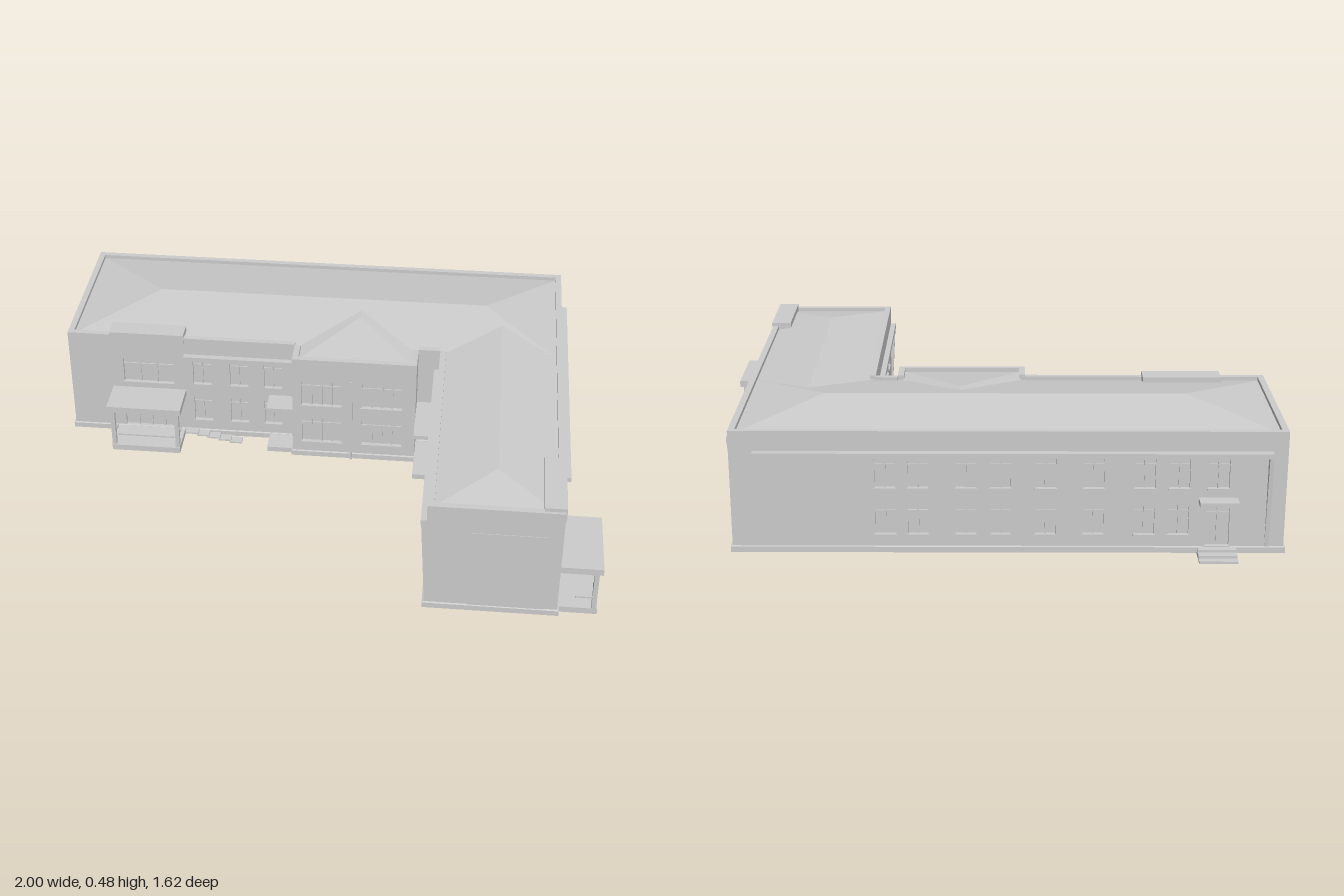
import * as THREE from 'three';

const mat = new THREE.MeshStandardMaterial({ color: 0xcccccc, flatShading: true });
const BASE = 0.03, TOP = 0.455, T = 0.022;

function add(parent, name, geo) {
  const m = new THREE.Mesh(geo, mat);
  m.name = name;
  parent.add(m);
  return m;
}

// Box given by its limits on each axis
function box(parent, name, x0, x1, y0, y1, z0, z1) {
  const m = add(parent, name, new THREE.BoxGeometry(x1 - x0, y1 - y0, z1 - z0));
  m.position.set((x0 + x1) / 2, (y0 + y1) / 2, (z0 + z1) / 2);
  return m;
}

function rectPath(path, x0, x1, y0, y1) {
  path.moveTo(x0, y0);
  path.lineTo(x1, y0);
  path.lineTo(x1, y1);
  path.lineTo(x0, y1);
  path.closePath();
  return path;
}

// Wall panel in its own frame: x along the wall, outer face at z = 0
function wall(parent, name, a, b, openings) {
  const g = new THREE.Group();
  g.name = name;
  g.position.set(a[0], 0, a[1]);
  g.rotation.y = Math.atan2(a[1] - b[1], b[0] - a[0]);
  parent.add(g);
  const len = Math.hypot(b[0] - a[0], b[1] - a[1]);
  const shape = rectPath(new THREE.Shape(), 0, len, BASE, TOP);
  for (const [u, w, y0, y1] of openings)
    shape.holes.push(rectPath(new THREE.Path(), u - w / 2, u + w / 2, y0, y1));
  const geo = new THREE.ExtrudeGeometry(shape, { depth: T, bevelEnabled: false });
  geo.translate(0, 0, -T);
  add(g, 'wallPanel', geo);
  for (const [u, w, y0, y1, panes] of openings) {
    const l = u - w / 2, r = u + w / 2;
    box(g, 'glass', l, r, y0, y1, -0.02, -0.012);
    for (let i = 1; i < panes; i++) {
      const x = l + (w * i) / panes;
      box(g, 'mullion', x - 0.003, x + 0.003, y0, y1, -0.014, -0.006);
    }
    box(g, 'transom', l, r, y1 - 0.026, y1 - 0.021, -0.014, -0.007);
    box(g, 'sill', l - 0.004, r + 0.004, y0 - 0.005, y0, -0.01, 0.005);
  }
  return g;
}

// Two storeys of windows at the given distances along a wall
const storeys = (us, w = 0.068, panes = 2) =>
  us.flatMap(u => [[u, w, 0.255, 0.36, panes], [u, w, 0.09, 0.195, panes]]);

// Projecting band under the parapet, with tapered fins at chosen places
function band(g, u0, u1, d, fins) {
  box(g, 'band', u0, u1, 0.368, 0.386, 0, d);
  for (const u of fins) {
    const s = new THREE.Shape([[0, 0.04], [d, 0.386], [0, 0.386]].map(p => new THREE.Vector2(...p)));
    const geo = new THREE.ExtrudeGeometry(s, { depth: 0.014, bevelEnabled: false });
    geo.rotateY(-Math.PI / 2);
    geo.translate(u + 0.007, 0, 0);
    add(g, 'taperedFin', geo);
  }
}

// Porch with tall parapet, canopy, posts, rails and side steps
function entrance(g, u) {
  const l = u - 0.14, r = u + 0.14;
  box(g, 'entranceParapet', l, r, 0.42, 0.468, -0.07, 0.004);
  box(g, 'canopy', l, r, 0.2, 0.224, 0, 0.143);
  box(g, 'porchFloor', l + 0.01, r - 0.01, 0.022, 0.045, 0, 0.135);
  for (const x of [l + 0.018, r - 0.018]) {
    box(g, 'post', x - 0.008, x + 0.008, 0.022, 0.2, 0.115, 0.131);
    box(g, 'sideRail', x - 0.003, x + 0.003, 0.085, 0.091, 0.06, 0.12);
  }
  box(g, 'frontRail', l + 0.018, r - 0.018, 0.085, 0.091, 0.12, 0.126);
  for (let i = 0; i < 5; i++)
    box(g, 'step', r + i * 0.042, r + 0.048 + i * 0.042, 0.056 - i * 0.008, 0.062 - i * 0.008, 0.018, 0.052);
}

// Hipped roof: rectangle of eaves plus a ridge from r0 to r1 (x, z)
function hip(parent, name, x0, x1, z0, z1, r0, r1, h, alongX) {
  const e = 0.44;
  const A = [x0, e, z0], B = [x1, e, z0], C = [x1, e, z1], D = [x0, e, z1];
  const P = [r0[0], h, r0[1]], Q = [r1[0], h, r1[1]];
  const tris = alongX
    ? [A, D, P, D, C, Q, D, Q, P, C, B, Q, B, A, P, B, P, Q]
    : [A, P, B, B, P, Q, B, Q, C, C, Q, D, D, Q, P, D, P, A];
  const geo = new THREE.BufferGeometry();
  geo.setAttribute('position', new THREE.Float32BufferAttribute(tris.flat(), 3));
  geo.computeVertexNormals();
  add(parent, name, geo).material = new THREE.MeshStandardMaterial({
    color: 0xcccccc, flatShading: true, side: THREE.DoubleSide });
}

export function createModel() {
  const model = new THREE.Group();
  model.name = 'schoolBuilding';

  // Corners of the L-shaped plan (x, z)
  const plan = [[-1, -0.11], [-0.14, -0.11], [-0.14, -0.01], [0.32, -0.01], [0.32, -0.12],
    [0.4, -0.12], [0.4, 0.81], [0.85, 0.81], [0.85, -0.72], [-1, -0.72]];
  const doorway = u => [[u, 0.19, 0.25, 0.35, 3], [u, 0.2, 0.046, 0.185, 4]];
  const specs = [
    ['frontWall', [...doorway(0.3), ...storeys([0.505, 0.645, 0.775])]],
    ['bayLeftWall', []],
    ['bayFrontWall', storeys([0.11, 0.335], 0.15, 4)],
    ['bayRightWall', []],
    ['notchWall', []],
    ['wingInnerWall', storeys([0.29, 0.41, 0.62, 0.74])],
    ['wingEndWall', []],
    ['rightWall', [...doorway(0.148), ...storeys([0.415, 0.523, 0.718, 1.16, 1.275])]],
    ['backWall', [...storeys([0.515, 0.625, 0.785, 0.9, 1.05, 1.21, 1.38, 1.495]),
      [1.625, 0.07, 0.255, 0.36, 2], [1.625, 0.08, 0.05, 0.19, 2]]],
    ['leftWall', storeys([0.12, 0.24, 0.4, 0.51])],
  ];
  const walls = {};
  specs.forEach(([name, openings], i) => {
    walls[name] = wall(model, name, plan[i], plan[(i + 1) % plan.length], openings);
  });

  // Floor slab and plinth
  const shape = new THREE.Shape(plan.map(([x, z]) => new THREE.Vector2(x, -z)));
  const slab = new THREE.ExtrudeGeometry(shape, { depth: 0.02, bevelEnabled: true,
    bevelThickness: 0.002, bevelSize: 0.006, bevelSegments: 1 });
  slab.rotateX(-Math.PI / 2);
  slab.translate(0, 0.025, 0);
  add(model, 'plinth', slab);

  // Roofs
  hip(model, 'mainRoof', -0.985, 0.835, -0.705, -0.125, [-0.69, -0.41], [0.56, -0.41], 0.484, true);
  hip(model, 'wingRoof', 0.415, 0.835, -0.5, 0.795, [0.625, -0.41], [0.625, 0.6], 0.467, false);
  hip(model, 'bayRoof', -0.125, 0.305, -0.45, -0.025, [0.09, -0.4], [0.09, -0.3], 0.474, false);

  // Bands and fins
  band(walls.frontWall, 0.44, 0.86, 0.022, []);
  band(walls.wingInnerWall, 0.02, 0.92, 0.02, [0.9]);
  band(walls.rightWall, 0.29, 1.4, 0.026, [1.393]);
  band(walls.backWall, 0.08, 1.8, 0.027, [1.793]);

  // Entrances
  entrance(walls.frontWall, 0.3);
  entrance(walls.rightWall, 0.15);

  // Back door canopy and steps
  box(walls.backWall, 'backCanopy', 1.56, 1.69, 0.205, 0.222, 0, 0.05);
  for (let i = 0; i < 3; i++)
    box(walls.backWall, 'backStep', 1.56, 1.69, 0.02, 0.046 - i * 0.009, i * 0.03, 0.03 + i * 0.028);

  // Courtyard doors: small canopies and landings
  for (const [x0, x1, z0, z1] of [[0.32, 0.4, -0.12, 0.1], [-0.24, -0.14, -0.11, -0.02]]) {
    box(model, 'courtyardCanopy', x0, x1, 0.208, 0.222, z0, z1);
    box(model, 'courtyardLanding', x0, x1, 0.024, 0.044, z0, z1);
  }

  // Downpipes
  for (const u of [0.36, 0.915, 1.385])
    box(walls.rightWall, 'downpipe', u - 0.004, u + 0.004, 0, 0.37, 0, 0.008);
  box(walls.frontWall, 'downpipe', 0.845, 0.853, 0.01, 0.37, 0, 0.008);
  box(walls.bayFrontWall, 'downpipe', 0.217, 0.225, 0.02, 0.37, 0, 0.008);

  // Raised panel on the end wall
  box(walls.wingEndWall, 'endPanel', 0.15, 0.4, 0.045, 0.355, 0, 0.002);

  return model;
}
